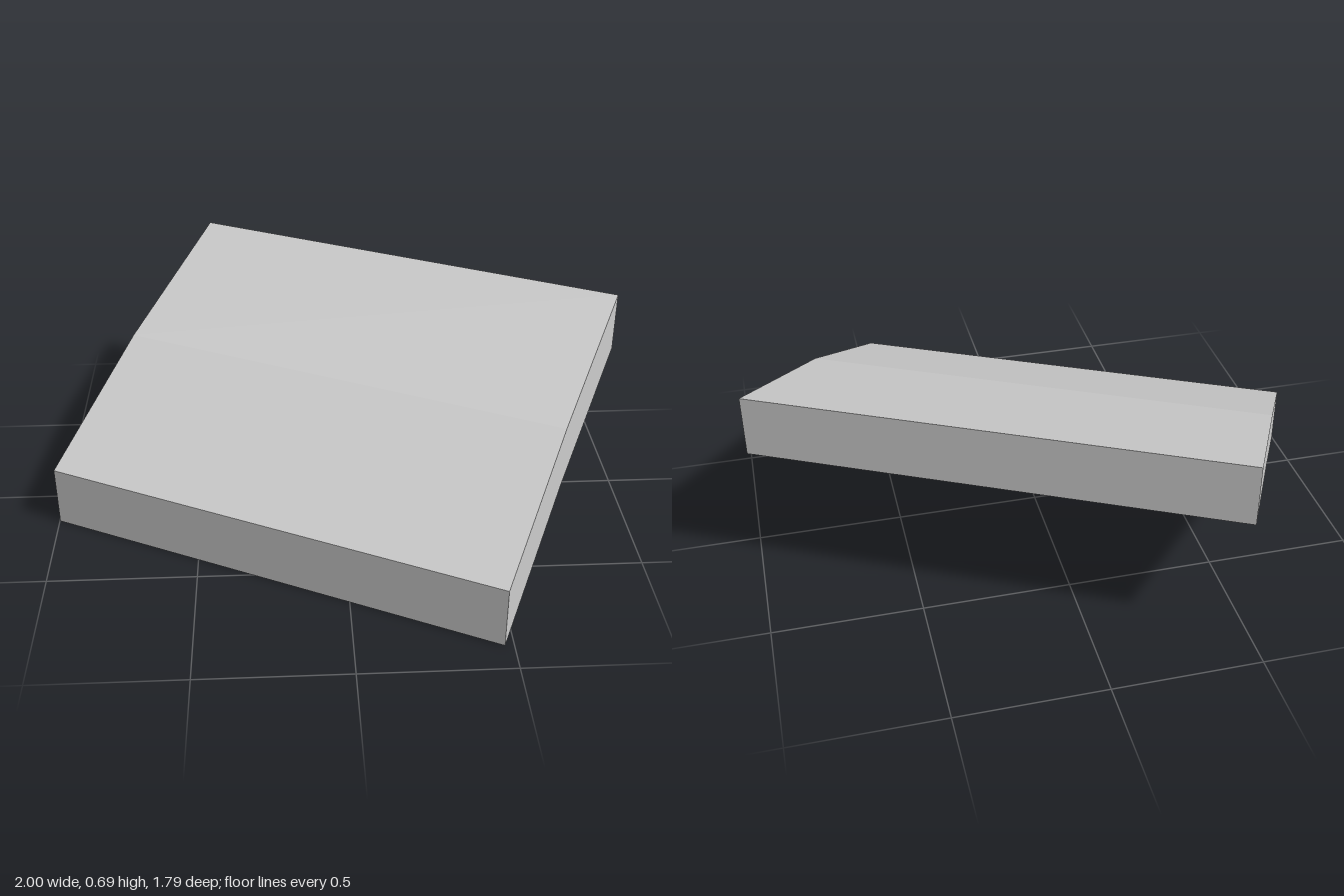
import * as THREE from 'three';

export function createModel() {
  const group = new THREE.Group();
  const length = 1.176, width = 1.644, thickness = 0.213;

  // Underside of the ramp, from the low front end to the high back end
  const path = [[-length / 2, 0], [-0.024, 0.26], [length / 2, 0.474]];

  // Side profile: the underside, then the same line raised by the thickness
  const top = path.map(([s, y]) => [s, y + thickness]).reverse();
  const profile = new THREE.Shape([...path, ...top].map(([s, y]) => new THREE.Vector2(s, y)));

  const geometry = new THREE.ExtrudeGeometry(profile, { depth: width, bevelEnabled: false });
  geometry.translate(0, 0, -width / 2);

  // Bent sloping slab, turned about the vertical axis
  const slab = new THREE.Mesh(geometry, new THREE.MeshStandardMaterial({ color: 0xcccccc, flatShading: true }));
  slab.name = 'rampSlab';
  slab.rotation.y = 1.105;
  group.add(slab);
  return group;
}
